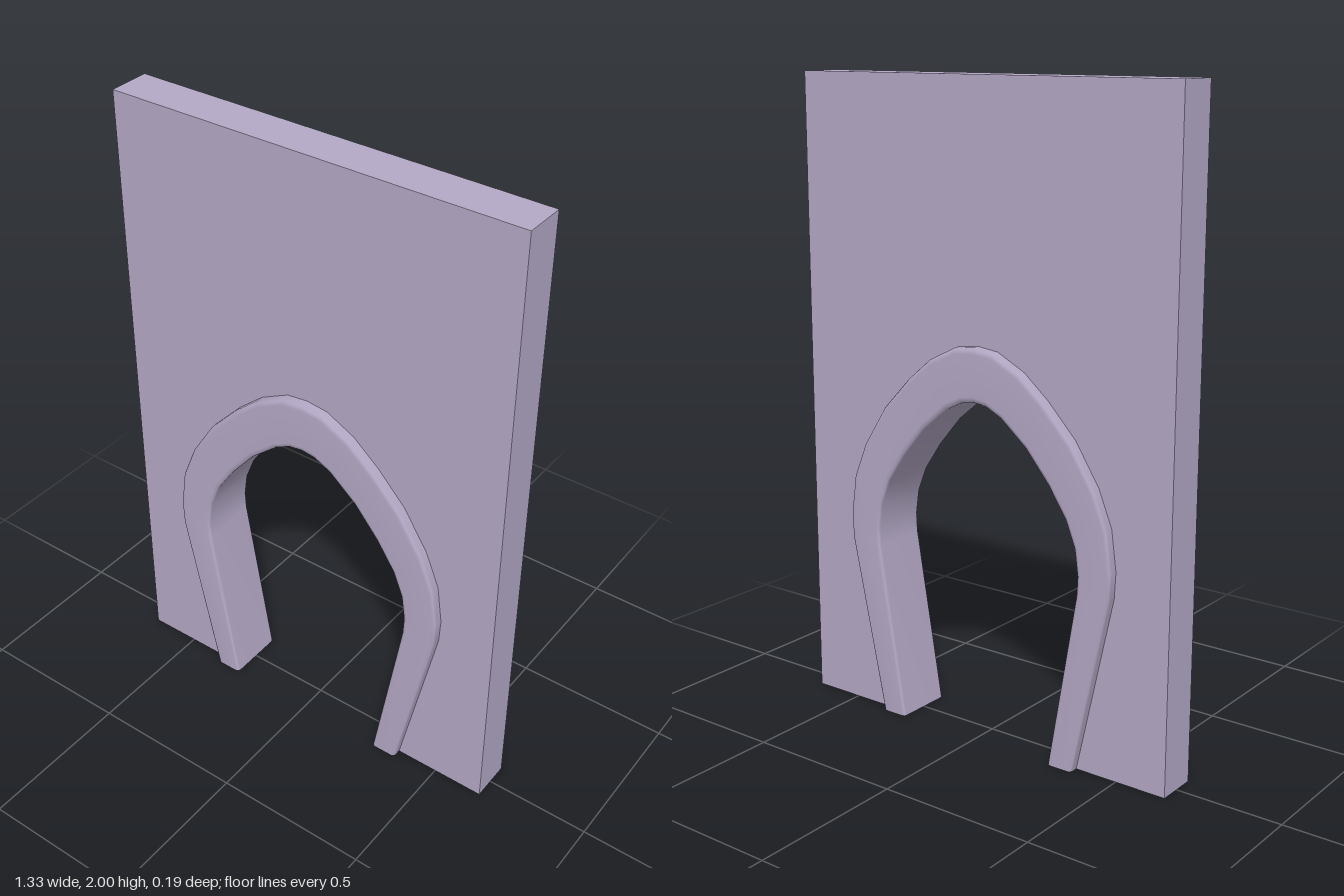
import * as THREE from 'three';

// Right half of the arch: [inner x, inner y, outer x, outer y], floor to crown
const HALF = [
  [0.277, 0, 0.362, 0],
  [0.37, 0.55, 0.483, 0.56],
  [0.373, 0.61, 0.487, 0.64],
  [0.362, 0.69, 0.47, 0.765],
  [0.33, 0.77, 0.425, 0.875],
  [0.27, 0.86, 0.345, 1.0],
  [0.19, 0.955, 0.25, 1.1],
  [0.1, 1.03, 0.165, 1.172],
  [0.045, 1.057, 0.07, 1.22],
  [0, 1.063, 0, 1.228],
];
const ARCH = [
  ...HALF,
  ...HALF.slice(0, -1).reverse().map(([a, b, c, d]) => [-a, b, -c, d]),
];

// Frame section: [fraction from inner to outer edge, z], with eased corners
const EDGE = [[0, 0.086], [0.03, 0.093], [0.11, 0.097], [0.89, 0.097], [0.97, 0.093], [1, 0.086]];
const SECTION = [...EDGE, ...EDGE.map(([t, z]) => [t, -z]).reverse()];

// Wall panel with the arch notched out of its lower edge
function wallGeometry() {
  const shape = new THREE.Shape();
  shape.moveTo(0.665, 0);
  shape.lineTo(0.665, 2);
  shape.lineTo(-0.665, 2);
  shape.lineTo(-0.665, 0);
  for (const [, , x, y] of [...ARCH].reverse()) shape.lineTo(x, y);
  shape.closePath();
  const geo = new THREE.ExtrudeGeometry(shape, { depth: 0.132, bevelEnabled: false });
  return geo.translate(0, 0, -0.066);
}

// Frame swept along the arch, with flat feet
function frameGeometry() {
  const pos = [], index = [], n = SECTION.length;
  const addRing = ([ix, iy, ox, oy]) => {
    for (const [t, z] of SECTION) pos.push(ix + (ox - ix) * t, iy + (oy - iy) * t, z);
  };
  ARCH.forEach(addRing);
  for (let i = 0; i < ARCH.length - 1; i++) {
    for (let k = 0; k < n; k++) {
      const a = i * n + k, b = i * n + (k + 1) % n;
      index.push(a, b, a + n, b, b + n, a + n);
    }
  }
  // Separate vertices keep the feet sharp
  [ARCH[0], ARCH[ARCH.length - 1]].forEach((ring, end) => {
    const s = pos.length / 3;
    addRing(ring);
    for (let k = 1; k < n - 1; k++) {
      if (end === 0) index.push(s, s + k + 1, s + k);
      else index.push(s, s + k, s + k + 1);
    }
  });
  const geo = new THREE.BufferGeometry();
  geo.setAttribute('position', new THREE.Float32BufferAttribute(pos, 3));
  geo.setIndex(index);
  geo.computeVertexNormals();
  return geo;
}

export function createModel() {
  const group = new THREE.Group();
  group.name = 'archedWall';
  const lilac = new THREE.MeshStandardMaterial({ color: 0xb4a9c6 });
  lilac.name = 'lilac';
  const add = (name, geo) => {
    const mesh = new THREE.Mesh(geo, lilac);
    mesh.name = name;
    group.add(mesh);
  };
  add('wall', wallGeometry());
  add('archFrame', frameGeometry());
  return group;
}
